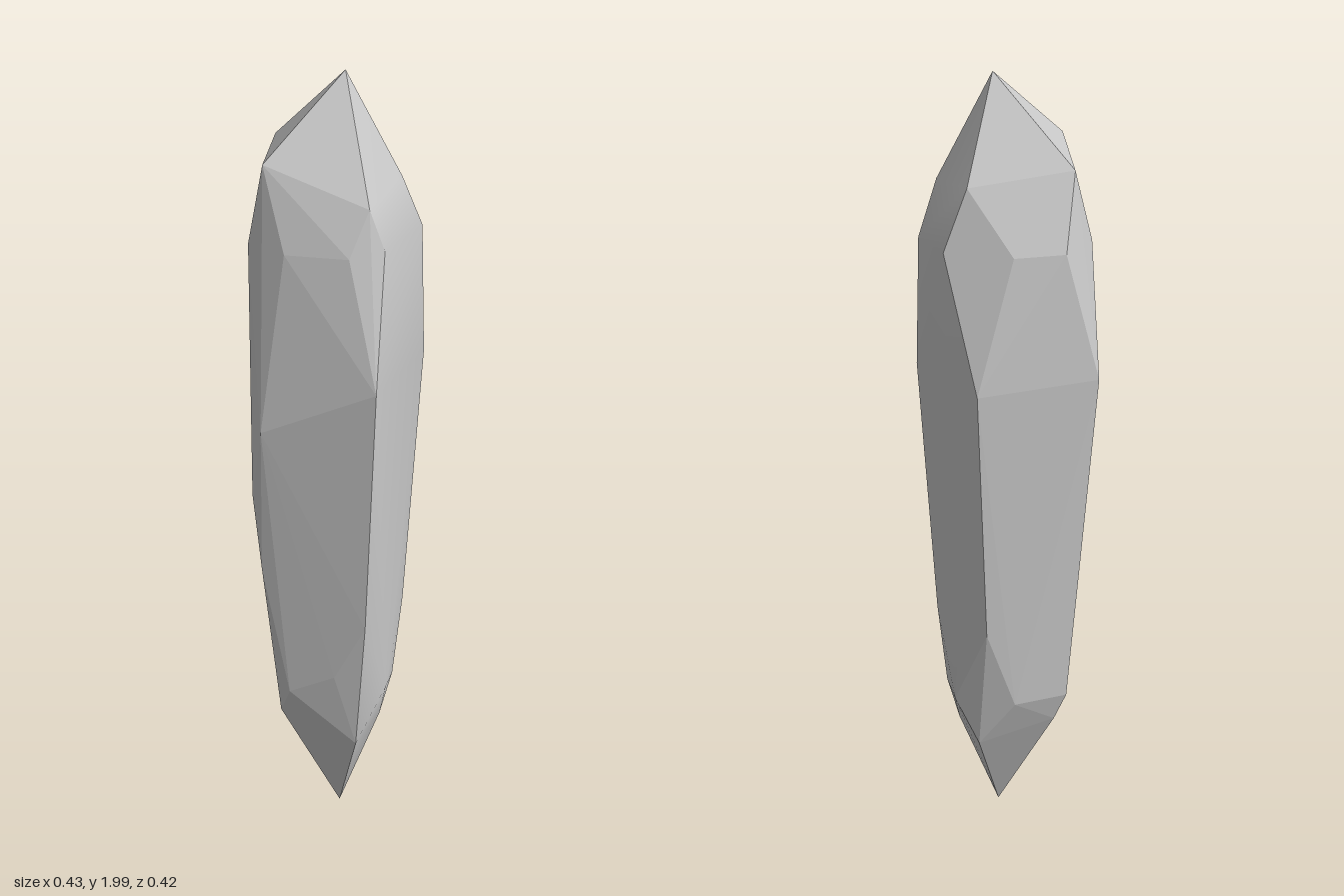
import * as THREE from 'three';
import { ConvexGeometry } from 'three/addons/geometries/ConvexGeometry.js';
import { mergeVertices } from 'three/addons/utils/BufferGeometryUtils.js';

// Corners of the cut stone, listed down each long ridge
const tips = [[0.03, 2, 0.015], [0.02, 0.01, 0.02]];
const frontLeft = [
  [0.11, 1.72, 0.145], [0.07, 1.61, 0.18], [0.145, 1.62, 0.14], [0.14, 1.29, 0.21],
  [0.11, 0.63, 0.165], [0.03, 0.47, 0.15], [0.145, 0.4, 0.06], [0.08, 0.26, 0.12],
];
const frontRight = [
  [-0.135, 1.81, 0.145], [-0.08, 1.61, 0.18], [-0.18, 1.6, 0.105], [-0.137, 1.16, 0.195],
  [-0.165, 0.98, 0.17], [-0.147, 0.77, 0.16], [-0.085, 0.41, 0.14], [-0.115, 0.33, 0.105],
];
const backRight = [
  [-0.155, 1.8, -0.09], [-0.135, 1.62, -0.15], [-0.197, 1.62, -0.06], [-0.215, 1.3, -0.137],
  [-0.15, 0.4, -0.09], [-0.12, 0.32, -0.075],
];
const backLeft = [
  [0.09, 1.77, -0.12], [-0.015, 1.62, -0.172], [0.145, 1.62, -0.135], [0.07, 1.29, -0.212],
  [0.05, 0.62, -0.165], [-0.02, 0.4, -0.135], [0.13, 0.4, -0.1], [0.07, 0.27, -0.11],
];
const left = [
  [0.16, 1.75, 0], [0.203, 1.62, -0.035], [0.212, 1.3, -0.035],
  [0.172, 0.62, -0.02], [0.15, 0.4, -0.01], [0.12, 0.28, 0],
];

function geometryFrom(values) {
  const g = new THREE.BufferGeometry();
  g.setAttribute('position', new THREE.Float32BufferAttribute(values, 3));
  return g;
}

export function createModel() {
  const group = new THREE.Group();
  group.name = 'crystal';
  const points = [...tips, ...frontLeft, ...frontRight, ...backRight, ...backLeft, ...left]
    .map((p) => new THREE.Vector3(...p));
  const hull = new ConvexGeometry(points);

  // Sort the faces: those turned to the left are softly rounded, the rest are flat facets
  const pos = hull.attributes.position, flat = [], soft = [];
  const tri = new THREE.Triangle(), n = new THREE.Vector3();
  for (let i = 0; i < pos.count; i += 3) {
    tri.setFromAttributeAndIndices(pos, i, i + 1, i + 2);
    tri.getNormal(n);
    const target = n.x > 0.6 * Math.hypot(n.x, n.z) ? soft : flat;
    target.push(...tri.a.toArray(), ...tri.b.toArray(), ...tri.c.toArray());
  }

  const facets = geometryFrom(flat);
  facets.computeVertexNormals();
  const rounded = mergeVertices(geometryFrom(soft));
  rounded.computeVertexNormals();

  const material = new THREE.MeshStandardMaterial({ color: 0xcccccc });
  for (const [name, geometry] of [['flatFacets', facets], ['roundedSide', rounded]]) {
    const mesh = new THREE.Mesh(geometry, material);
    mesh.name = name;
    group.add(mesh);
  }
  return group;
}
